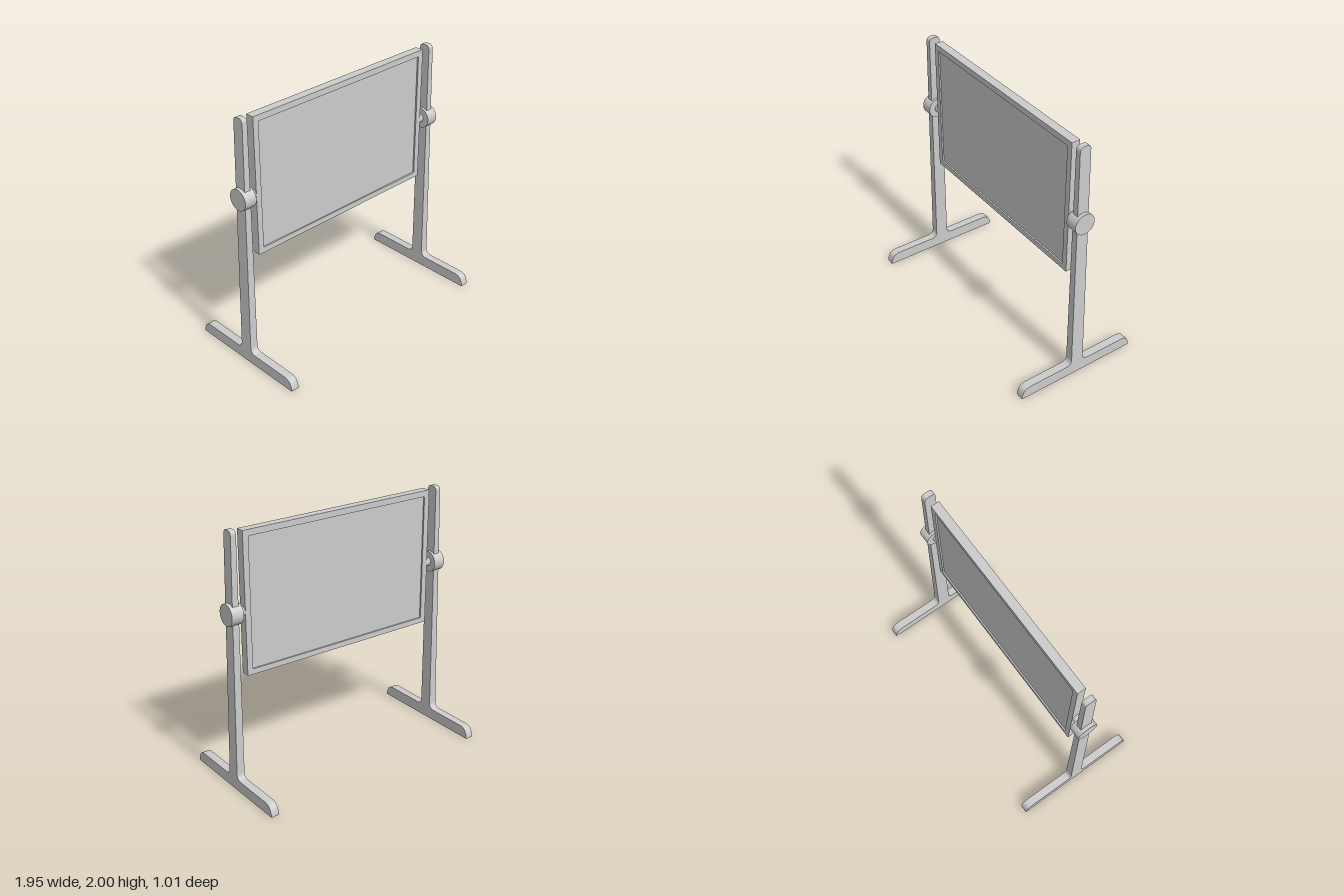
import * as THREE from 'three';
import { toCreasedNormals } from 'three/addons/utils/BufferGeometryUtils.js';

const PIVOT_Y = 1.388;

function mesh(name, geometry, material) {
  const m = new THREE.Mesh(geometry, material);
  m.name = name;
  return m;
}

// Rectangle with rounded corners, drawn on a Shape or a Path
function roundedRect(path, x0, y0, x1, y1, r) {
  path.moveTo(x0 + r, y0);
  path.lineTo(x1 - r, y0);
  path.quadraticCurveTo(x1, y0, x1, y0 + r);
  path.lineTo(x1, y1 - r);
  path.quadraticCurveTo(x1, y1, x1 - r, y1);
  path.lineTo(x0 + r, y1);
  path.quadraticCurveTo(x0, y1, x0, y1 - r);
  path.lineTo(x0, y0 + r);
  path.quadraticCurveTo(x0, y0, x0 + r, y0);
  return path;
}

// Upright and foot in one inverted-T side profile, thinner towards the top
function uprightGeometry() {
  const s = new THREE.Shape();
  s.moveTo(-0.505, 0);
  s.lineTo(0.505, 0);
  s.lineTo(0.505, 0.022);
  s.lineTo(0.486, 0.066);
  s.quadraticCurveTo(0.465, 0.088, 0.43, 0.09);
  s.lineTo(0.1, 0.09);
  s.quadraticCurveTo(0.052, 0.092, 0.052, 0.14);
  s.lineTo(0.045, 1.965);
  s.quadraticCurveTo(0.044, 2, 0.012, 2);
  s.lineTo(-0.012, 2);
  s.quadraticCurveTo(-0.044, 2, -0.045, 1.965);
  s.lineTo(-0.052, 0.14);
  s.quadraticCurveTo(-0.052, 0.092, -0.1, 0.09);
  s.lineTo(-0.43, 0.09);
  s.quadraticCurveTo(-0.465, 0.088, -0.486, 0.066);
  s.lineTo(-0.505, 0.022);
  s.closePath();
  const g = new THREE.ExtrudeGeometry(s, { depth: 1, bevelEnabled: false, curveSegments: 8 });
  g.rotateY(Math.PI / 2);
  const p = g.attributes.position;
  for (let i = 0; i < p.count; i++) {
    const t = Math.max(0, (p.getY(i) - 0.09) / 1.91);
    const inner = THREE.MathUtils.lerp(0.912, 0.897, t);
    const outer = THREE.MathUtils.lerp(0.977, 0.94, t);
    p.setX(i, p.getX(i) > 0.5 ? outer : inner);
  }
  return toCreasedNormals(g, 0.5);
}

// Cylinder lying along x between x0 and x1
function axle(radius, x0, x1) {
  const g = new THREE.CylinderGeometry(radius, radius, x1 - x0, 40);
  g.rotateZ(Math.PI / 2);
  g.translate((x0 + x1) / 2, PIVOT_Y, 0);
  return g;
}

export function createModel() {
  const model = new THREE.Group();
  model.name = 'pivotingBoard';
  const grey = new THREE.MeshStandardMaterial({ color: 0xcccccc });

  // Two side stands, the second turned half way round
  const upright = uprightGeometry();
  const hub = axle(0.083, 0.88, 0.977);
  const pin = axle(0.033, 0.83, 0.885);
  for (const side of ['left', 'right']) {
    const stand = new THREE.Group();
    stand.name = side + 'Stand';
    stand.add(
      mesh(side + 'Upright', upright, grey),
      mesh(side + 'PivotKnob', hub, grey),
      mesh(side + 'PivotPin', pin, grey)
    );
    if (side === 'right') stand.rotation.y = Math.PI;
    model.add(stand);
  }

  // Board: frame with an opening, panel set back on both faces
  const board = new THREE.Group();
  board.name = 'board';
  const outline = roundedRect(new THREE.Shape(), -0.839, 0.895, 0.839, 1.985, 0.004);
  outline.holes.push(roundedRect(new THREE.Path(), -0.793, 0.938, 0.793, 1.938, 0.008));
  const frame = new THREE.ExtrudeGeometry(outline, { depth: 0.068, bevelEnabled: false, curveSegments: 4 });
  frame.translate(0, 0, -0.034);
  board.add(mesh('boardFrame', frame, grey));

  const panel = new THREE.BoxGeometry(1.6, 1.014, 0.044);
  panel.translate(0, 1.438, 0);
  board.add(mesh('boardPanel', panel, grey));
  model.add(board);

  return model;
}
